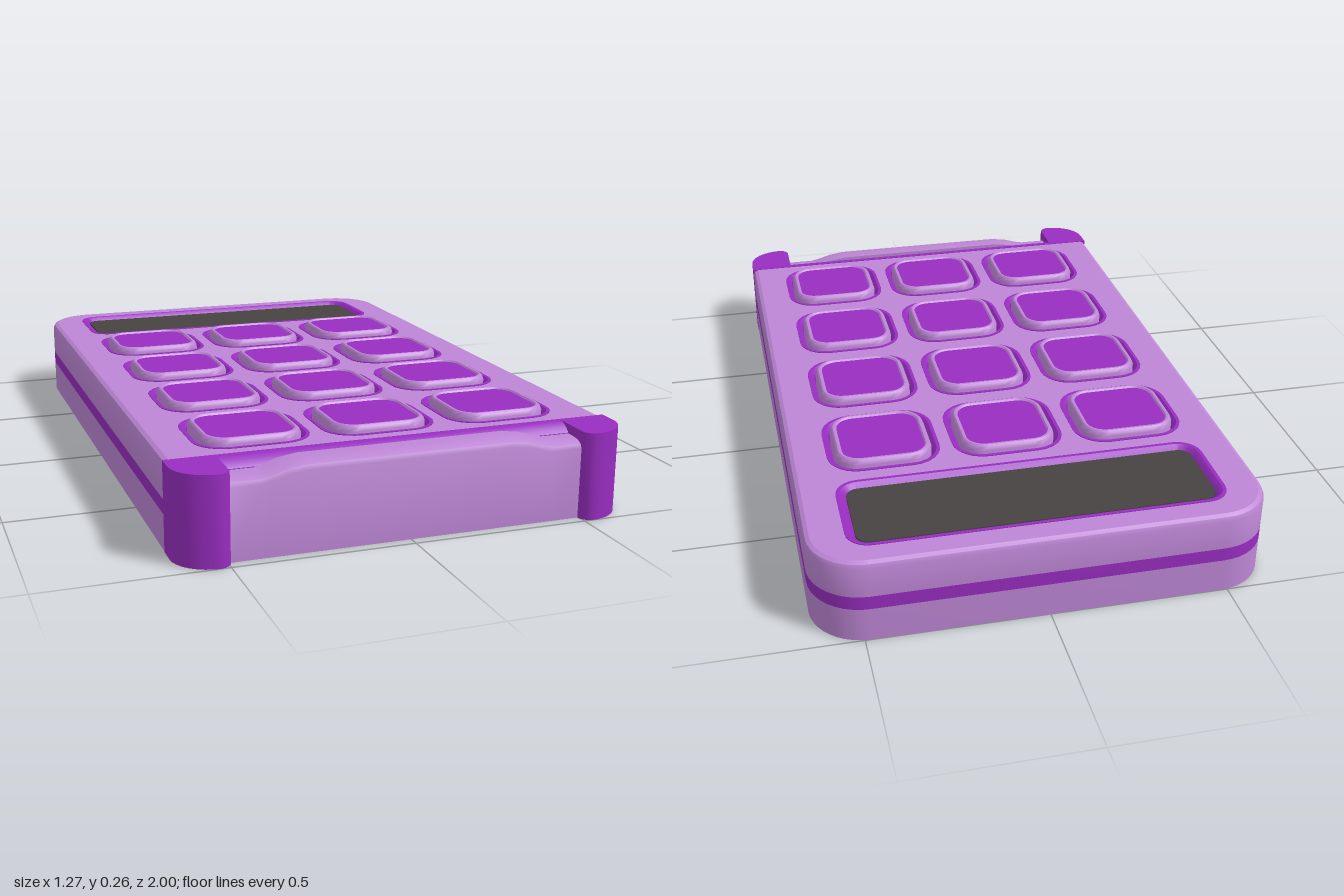
import * as THREE from 'three';
import { toCreasedNormals } from 'three/addons/utils/BufferGeometryUtils.js';

const paint = (name, color) => {
  const m = new THREE.MeshStandardMaterial({ color, side: THREE.DoubleSide });
  m.name = name;
  return m;
};

// Skin over a list of equally long point rows
function loft(rows, closeRows, closeCols) {
  const n = rows[0].length, m = rows.length, index = [];
  for (let i = 0; i < (closeRows ? m : m - 1); i++) {
    for (let j = 0; j < (closeCols ? n : n - 1); j++) {
      const a = i * n + j, b = i * n + (j + 1) % n;
      const c = ((i + 1) % m) * n + j, d = ((i + 1) % m) * n + (j + 1) % n;
      index.push(a, c, b, b, c, d);
    }
  }
  const g = new THREE.BufferGeometry();
  g.setAttribute('position', new THREE.Float32BufferAttribute(rows.flat(2), 3));
  g.setIndex(index);
  return toCreasedNormals(g, 0.6);
}

// Rounded rectangle as [x, z] points
function roundRect(cx, cz, hw, hd, r, seg = 6) {
  const pts = [];
  [[1, 1], [-1, 1], [-1, -1], [1, -1]].forEach(([sx, sz], k) => {
    for (let i = 0; i <= seg; i++) {
      const a = (k + i / seg) * Math.PI / 2;
      pts.push([cx + sx * (hw - r) + r * Math.cos(a), cz + sz * (hd - r) + r * Math.sin(a)]);
    }
  });
  return pts;
}

// Casing outline: straight sides, rounded back corners, open front
const FRONT = 0.85;
function casingPath(inset) {
  const hw = 0.632 - inset, r = 0.15 - inset, pts = [[hw, FRONT]];
  for (const k of [0, 1]) {
    for (let i = 0; i <= 10; i++) {
      const a = -(k + i / 10) * Math.PI / 2;
      pts.push([(k ? -1 : 1) * (hw - r) + r * Math.cos(a), -1 + 0.15 + r * Math.sin(a)]);
    }
  }
  pts.push([-hw, FRONT]);
  return pts;
}

const lift = (pts, y) => pts.map(([x, z]) => [x, y, z]);
const toVec = pts => pts.map(([x, z]) => new THREE.Vector2(x, z));

// Flat slab from a plan outline, with its upper face at y = top
function slab(pts, top, depth, holes = []) {
  const shape = new THREE.Shape(toVec(pts));
  shape.holes = holes.map(h => new THREE.Path(toVec(h)));
  const g = new THREE.ExtrudeGeometry(shape, { depth, bevelEnabled: false });
  return toCreasedNormals(g.rotateX(Math.PI / 2).translate(0, top, 0), 0.6);
}

// Rounded frame from a closed [inset, y] section
const frame = (hw, hd, r, section) => loft(
  section.map(([o, y]) => lift(roundRect(0, 0, hw - o, hd - o, Math.max(r - o, 0.015)), y)), true, true);

export function createModel() {
  const model = new THREE.Group();
  const light = paint('lightPurple', 0xbd86d5);
  const dark = paint('deepPurple', 0x982dc0);
  const glass = paint('screenGrey', 0x474341);
  const add = (name, geometry, material, parent = model) => {
    const mesh = new THREE.Mesh(geometry, material);
    mesh.name = name;
    parent.add(mesh);
    return mesh;
  };

  // Casing walls in three layers
  const wall = section => loft(section.map(([o, y]) => lift(casingPath(o), y)), true, false);
  const t = 0.016;
  add('lowerWall', wall([[t, 0], [0, 0], [0, 0.1], [t, 0.1]]), light);
  add('wallStripe', wall([[t, 0.1], [0, 0.1], [0, 0.14], [t, 0.14]]), dark);
  add('upperWall', wall([[t, 0.14], [0, 0.14], [0, 0.228], [0.005, 0.239], [t, 0.245]]), light);

  // Top plate with openings for the keys and screen
  const keyX = [-0.362, 0, 0.362], keyZ = [-0.423, -0.064, 0.295, 0.655], screenZ = -0.772;
  const holes = keyZ.flatMap(z => keyX.map(x => roundRect(x, z, 0.161, 0.151, 0.088)));
  holes.push(roundRect(0, screenZ, 0.522, 0.15, 0.06));
  add('topPlate', slab(casingPath(t), 0.245, 0.02, holes), light);

  // Screen in its sunken frame
  const screen = new THREE.Group();
  screen.name = 'screen';
  screen.position.z = screenZ;
  model.add(screen);
  add('screenFrame', frame(0.525, 0.153, 0.065,
    [[0, 0.218], [0, 0.247], [0.01, 0.247], [0.026, 0.235], [0.034, 0.218]]), dark, screen);
  add('screenGlass', slab(roundRect(0, 0, 0.496, 0.125, 0.035), 0.237, 0.008), glass, screen);

  // Keys: sleeve, hollow body and inlaid cap
  const sleeve = frame(0.163, 0.153, 0.09,
    [[0, 0.14], [0, 0.247], [0.01, 0.247], [0.02, 0.236], [0.02, 0.15], [0.042, 0.15], [0.042, 0.135], [0.008, 0.135]]);
  const body = frame(0.139, 0.132, 0.07,
    [[0, 0.155], [0, 0.25], [0.004, 0.26], [0.01, 0.265], [0.016, 0.265], [0.021, 0.259], [0.023, 0.155]]);
  const cap = slab(roundRect(0, 0, 0.12, 0.113, 0.045), 0.26, 0.009);
  for (const z of keyZ) {
    for (const x of keyX) {
      const key = new THREE.Group();
      key.name = 'key';
      key.position.set(x, 0, z);
      model.add(key);
      add('keySleeve', sleeve, dark, key);
      add('keyBody', body, light, key);
      add('keyCap', cap, dark, key);
    }
  }

  // Sloped trim across the front of the top plate
  const trim = [[0.845, 0.218], [0.845, 0.2465], [0.862, 0.2465], [0.885, 0.235], [0.898, 0.222], [0.898, 0.21]];
  add('frontTrim', loft(trim.map(([z, y]) => [[-0.631, y, z], [0.631, y, z]]), true, false), dark);

  // Front corner posts
  for (const s of [-1, 1]) {
    const plan = [[0.495, 0.845], [0.633, 0.845], [0.633, 0.9]];
    for (let i = 1; i <= 8; i++) {
      const a = i / 8 * Math.PI / 2;
      plan.push([0.523 + 0.11 * Math.cos(a), 0.9 + 0.1 * Math.sin(a)]);
    }
    plan.push([0.507, 0.994], [0.495, 0.978]);
    add('cornerPost', slab(plan.map(([x, z]) => [s * x, z]), 0.2465, 0.2465), dark);
  }

  // Front panel with a raised middle, curling back under the trim
  const crest = [[-0.495, 0.22], [-0.41, 0.22], [-0.38, 0.226], [-0.34, 0.238], [-0.29, 0.245]];
  const across = [...crest, ...crest.map(([x, y]) => [-x, y]).reverse()];
  const section = [[0.89, 0], [0.925, 0], [0.95, 0.003], [0.964, 0.01], [0.97, 0.022]];
  const rows = section.map(([z, drop]) => across.map(([x, h]) => [x, h - drop, z]));
  rows.push(across.map(([x]) => [x, 0, 0.97]), across.map(([x]) => [x, 0, 0.955]),
    across.map(([x, h]) => [x, h - 0.03, 0.955]), across.map(([x, h]) => [x, h - 0.015, 0.94]),
    across.map(([x, h]) => [x, h - 0.015, 0.89]));
  add('frontPanel', loft(rows, true, false), light);

  return model;
}
